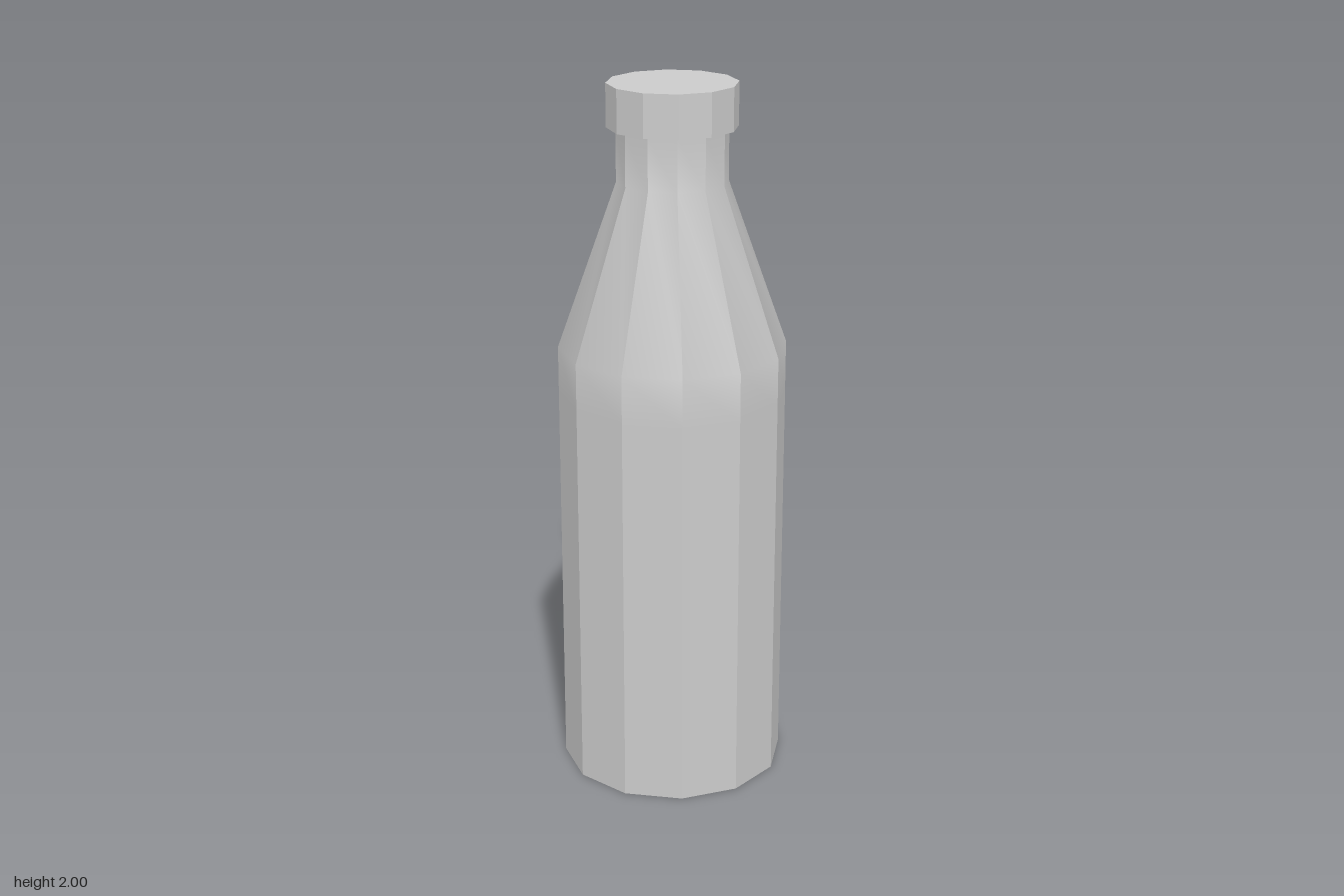
import * as THREE from 'three';
import { toCreasedNormals } from 'three/addons/utils/BufferGeometryUtils.js';

const SIDES = 12;

// Turn a [radius, height] profile into a faceted solid; bends under 23 degrees stay smooth
function turned(name, profile, material) {
  const points = profile.map(([r, y]) => new THREE.Vector2(r, y));
  const geometry = toCreasedNormals(new THREE.LatheGeometry(points, SIDES), 0.4);
  const mesh = new THREE.Mesh(geometry, material);
  mesh.name = name;
  return mesh;
}

export function createModel() {
  const group = new THREE.Group();
  group.name = 'bottle';
  const material = new THREE.MeshStandardMaterial({ color: 0xcccccc });

  // Base, straight body, sloping shoulder and neck; the ring at 1.13 keeps the body flat below it
  group.add(turned('body', [
    [0, 0], [0.32, 0], [0.32, 1.13], [0.32, 1.265], [0.154, 1.73], [0.154, 1.88],
  ], material));

  // Wider cap closing the neck
  group.add(turned('cap', [[0, 1.88], [0.18, 1.88], [0.18, 2], [0, 2]], material));

  return group;
}
